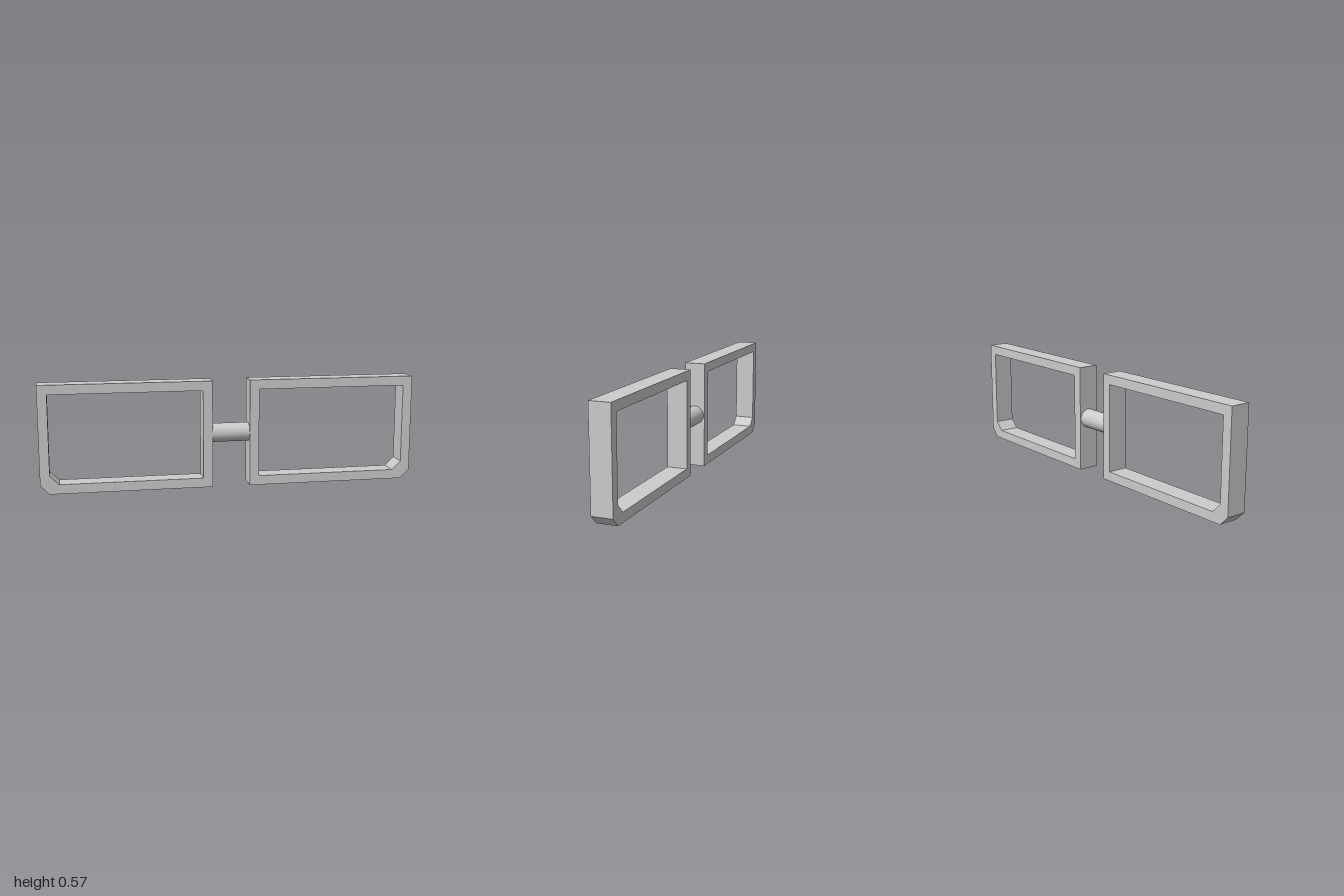
import * as THREE from 'three';

const HEIGHT = 0.568, DEPTH = 0.11, BAR = 0.05, INNER = 0.1, OUTER = 1, CHAMFER = 0.047;

// Rectangle outline inset by a margin, with its lower outer corner cut off
function outline(inset) {
  const x0 = INNER + inset, x1 = OUTER - inset, y0 = inset, y1 = HEIGHT - inset;
  return [[x0, y0], [x1 - CHAMFER, y0], [x1, y0 + CHAMFER], [x1, y1], [x0, y1]]
    .map(([x, y]) => new THREE.Vector2(x, y));
}

export function createModel() {
  const group = new THREE.Group();
  const material = new THREE.MeshStandardMaterial({ color: 0xcccccc });

  // Open frames; the right one is the left one turned half round
  const shape = new THREE.Shape(outline(0));
  shape.holes.push(new THREE.Path(outline(BAR)));
  const frameGeometry = new THREE.ExtrudeGeometry(shape, { depth: DEPTH, bevelEnabled: false });
  frameGeometry.translate(0, 0, -DEPTH / 2);
  for (const [name, turn] of [['leftFrame', 0], ['rightFrame', Math.PI]]) {
    const frame = new THREE.Mesh(frameGeometry, material);
    frame.name = name;
    frame.rotation.y = turn;
    group.add(frame);
  }

  // Round bar joining the two frames
  const bridge = new THREE.Mesh(new THREE.CylinderGeometry(0.05, 0.05, 2 * INNER, 32), material);
  bridge.name = 'bridge';
  bridge.rotation.z = Math.PI / 2;
  bridge.position.y = HEIGHT / 2;
  group.add(bridge);

  return group;
}
